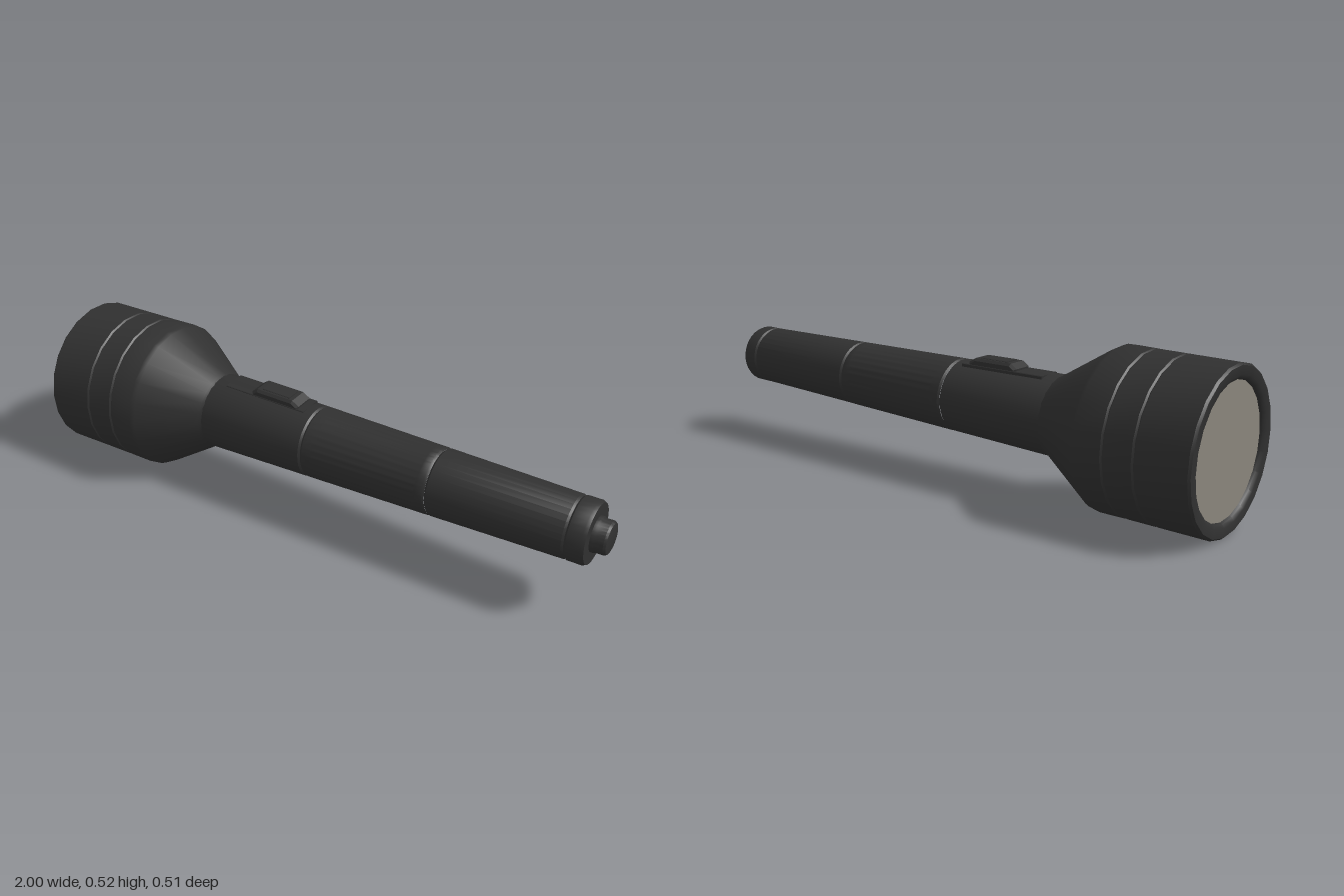
import * as THREE from 'three';
import { toCreasedNormals } from 'three/addons/utils/BufferGeometryUtils.js';

const dark = new THREE.MeshStandardMaterial({ color: 0x303030 });
const glass = new THREE.MeshStandardMaterial({ color: 0x8c877d });

// Revolve [position along x, radius] pairs around the x axis
function turned(name, profile, sides, material = dark, reshape = null) {
  const points = profile.map(([x, r]) => new THREE.Vector2(r, x));
  const geometry = new THREE.LatheGeometry(points, sides, -Math.PI / 2 + 0.07);
  if (reshape) reshape(geometry, points.length);
  geometry.rotateZ(-Math.PI / 2);
  const mesh = new THREE.Mesh(toCreasedNormals(geometry, 0.62), material);
  mesh.name = name;
  return mesh;
}

// Narrow V-shaped seam cut into a turned profile
const seam = (x, r, depth = 0.005) => [[x - 0.005, r], [x, r - depth], [x + 0.005, r]];

// Tapering radius of the handle
const handleRadius = (x) => 0.13 - 0.0215 * (x + 0.42);

// Side outline in x/y, extruded across z with a small bevel
function ridge(name, outline, width, bevel) {
  const shape = new THREE.Shape(outline.map(([x, y]) => new THREE.Vector2(x, y)));
  const depth = width - 2 * bevel;
  const geometry = new THREE.ExtrudeGeometry(shape, {
    depth, bevelEnabled: true, bevelThickness: bevel, bevelSize: bevel,
    bevelOffset: -bevel, bevelSegments: 1,
  });
  geometry.translate(0, 0, -depth / 2);
  const mesh = new THREE.Mesh(geometry, dark);
  mesh.name = name;
  return mesh;
}

export function createModel() {
  const model = new THREE.Group();
  model.name = 'flashlight';

  // Wide head with recessed lens seat, seams and cone
  model.add(turned('head', [
    [-0.975, 0.206], [-0.985, 0.21], [-0.993, 0.222], [-0.993, 0.25], [-0.986, 0.256],
    ...seam(-0.82, 0.256), ...seam(-0.72, 0.256),
    [-0.63, 0.257], [-0.615, 0.251], [-0.43, 0.135], [-0.415, 0.128],
  ], 22));
  model.add(turned('lens', [[-0.978, 0], [-0.978, 0.21]], 22, glass));

  // Handle between the head and the grip
  model.add(turned('handleFront', [
    [-0.45, 0.12], [-0.42, 0.13], [-0.03, handleRadius(-0.03)], [-0.023, 0.115],
  ], 32));

  // Grip with shallow lengthwise flutes
  const flute = (geometry, rows) => {
    const p = geometry.attributes.position;
    for (let i = 0; i < p.count; i++) {
      const row = i % rows, column = Math.floor(i / rows);
      if (row > 2 && row < rows - 3 && column % 3 === 1) {
        p.setX(i, p.getX(i) * 0.982);
        p.setZ(i, p.getZ(i) * 0.982);
      }
    }
  };
  model.add(turned('grip', [-0.023, -0.016, 0.015, 0.025, 0.39, 0.4, 0.423, 0.43].map(
    (x, i) => [x, handleRadius(x) - (i === 0 || i === 7 ? 0.005 : 0)]), 96, dark, flute));

  // Rear handle, tail cap and tail button
  model.add(turned('handleRear', [
    [0.43, 0.106], [0.437, handleRadius(0.437)], [0.877, 0.102], [0.884, 0.097],
  ], 32));
  model.add(turned('tailCap', [
    [0.884, 0.097], [0.89, 0.102], [0.935, 0.102], [0.946, 0.097], [0.946, 0],
  ], 32));
  model.add(turned('tailButton', [
    [0.94, 0.057], [0.955, 0.057], [0.96, 0.054], [0.987, 0.054], [0.994, 0.049], [0.997, 0.04], [0.997, 0],
  ], 32));

  // Sliding switch on a flush plate
  const slider = new THREE.Group();
  slider.name = 'switch';
  slider.add(ridge('switchPlate', [
    [-0.375, 0.1], [-0.06, 0.1], [-0.06, 0.1215], [-0.375, 0.128],
  ], 0.085, 0.002));
  slider.add(ridge('switchBase', [
    [-0.272, 0.11], [-0.085, 0.11], [-0.085, 0.128], [-0.11, 0.144], [-0.25, 0.147], [-0.272, 0.132],
  ], 0.082, 0.008));
  slider.add(ridge('switchPad', [
    [-0.232, 0.13], [-0.125, 0.13], [-0.125, 0.147], [-0.232, 0.1495],
  ], 0.054, 0.002));
  slider.position.z = -0.009;
  model.add(slider);

  // Rest on the head rim with a slight upward tilt
  const posed = new THREE.Group();
  posed.name = 'flashlightPose';
  model.rotation.z = 0.025;
  model.position.y = 0.283;
  posed.add(model);
  return posed;
}
